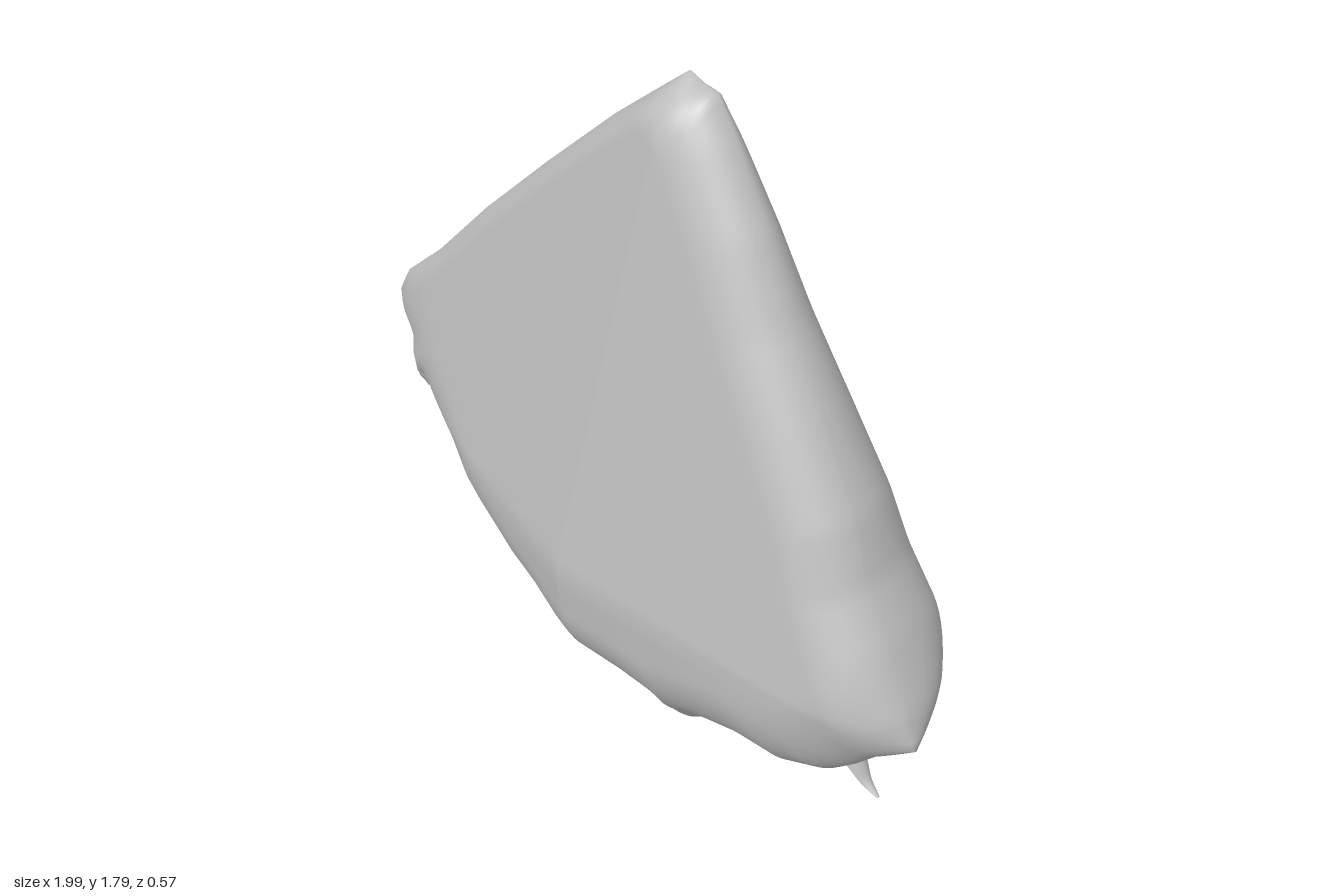
import * as THREE from 'three';

// Outline runs anticlockwise: left edge down, ragged crust, right edge up
const LEFT = [[0.13, 1.79], [-0.1, 1.59], [-0.35, 1.35], [-0.59, 1.11], [-0.8, 0.88], [-0.95, 0.74], [-1, 0.65]];
const CRUST = [[-1, 0.65], [-0.98, 0.6], [-0.93, 0.55], [-0.93, 0.5], [-0.88, 0.41], [-0.84, 0.44], [-0.77, 0.39],
  [-0.69, 0.33], [-0.62, 0.24], [-0.52, 0.19], [-0.41, 0.15], [-0.33, 0.12], [-0.21, 0.1], [-0.1, 0.06], [0, 0.045],
  [0.15, 0.05], [0.24, 0.045], [0.31, 0], [0.34, 0.05], [0.42, 0.08], [0.53, 0.11], [0.66, 0.12], [0.78, 0.18],
  [0.84, 0.24], [0.9, 0.31], [0.99, 0.38]];
const RIGHT = [[0.99, 0.38], [0.96, 0.47], [0.88, 0.63], [0.8, 0.76], [0.74, 0.91], [0.61, 1.13], [0.5, 1.31],
  [0.4, 1.5], [0.28, 1.69], [0.22, 1.77], [0.17, 1.775], [0.13, 1.79]];

const lerpAt = (y, y0, a, y1, b) => a + (b - a) * THREE.MathUtils.clamp((y - y0) / (y1 - y0), 0, 1);

// Shortest distance from a point to an open polyline
function distanceTo(line, x, y) {
  let best = Infinity;
  for (let i = 0; i < line.length - 1; i++) {
    const [ax, ay] = line[i], dx = line[i + 1][0] - ax, dy = line[i + 1][1] - ay;
    const t = THREE.MathUtils.clamp(((x - ax) * dx + (y - ay) * dy) / (dx * dx + dy * dy), 0, 1);
    best = Math.min(best, Math.hypot(x - ax - dx * t, y - ay - dy * t));
  }
  return best;
}

// Quarter-round from the rim (0) to full thickness (1)
const round = (d, w) => Math.sqrt(1 - (1 - Math.min(d / w, 1)) ** 2);
const rimZ = (y) => 0.03 - 0.035 * y;

// Front is a shallow ridge, back is a flat sloping plane; both round off at the rim
function surfaceZ(x, y, side) {
  const w = side > 0 ? [0.06, 0.13, 0.24] : [0.26, 0.16, 0.3];
  const dc = distanceTo(CRUST, x, y);
  const f = round(distanceTo(LEFT, x, y), w[0]) * round(distanceTo(RIGHT, x, y), w[1]) * round(dc, w[2]);
  let z;
  if (side > 0) {
    const dx = x - lerpAt(y, 0.45, 0, 1.75, 0.17);
    z = lerpAt(y, 0.45, 0.28, 1.75, 0.08) - (dx < 0 ? -0.2 : 0.13) * dx;
    z -= 0.1 * Math.max(0, 0.4 - y) * Math.max(0, 1 - Math.abs(x));
  } else {
    z = -lerpAt(y, 0.36, 0.285, 1.75, 0.09);
    // Soft creases in the crust
    z += 0.008 * Math.sin(x * 24 + 2 * Math.sin(x * 7)) * Math.max(0, 1 - dc / 0.3);
  }
  return rimZ(y) + (z - rimZ(y)) * f;
}

function wedgeGeometry() {
  const rim = [];
  for (const line of [LEFT, CRUST, RIGHT]) {
    for (let i = 0; i < line.length - 1; i++) {
      const [ax, ay] = line[i], [bx, by] = line[i + 1];
      const n = Math.max(1, Math.ceil(Math.hypot(bx - ax, by - ay) / 0.03));
      for (let k = 0; k < n; k++) rim.push([ax + (bx - ax) * k / n, ay + (by - ay) * k / n]);
    }
  }
  const cx = 0.033, cy = 0.7, rings = 36, n = rim.length;
  const pos = [], index = [];
  rim.forEach(([x, y]) => pos.push(x, y, rimZ(y)));
  for (const side of [1, -1]) {
    const tri = (a, b, c) => (side > 0 ? index.push(a, b, c) : index.push(a, c, b));
    let outer = 0;
    for (let j = 1; j < rings; j++) {
      const k = 1 - (j / rings) ** 2, start = pos.length / 3;
      for (const [rx, ry] of rim) {
        const x = cx + (rx - cx) * k, y = cy + (ry - cy) * k;
        pos.push(x, y, surfaceZ(x, y, side));
      }
      for (let i = 0; i < n; i++) {
        const m = (i + 1) % n;
        tri(outer + i, outer + m, start + i);
        tri(outer + m, start + m, start + i);
      }
      outer = start;
    }
    const centre = pos.length / 3;
    pos.push(cx, cy, surfaceZ(cx, cy, side));
    for (let i = 0; i < n; i++) tri(outer + i, outer + (i + 1) % n, centre);
  }
  const g = new THREE.BufferGeometry();
  g.setAttribute('position', new THREE.Float32BufferAttribute(pos, 3));
  g.setIndex(index);
  g.computeVertexNormals();
  return g;
}

// Curved drip that tapers to a point
function dripGeometry() {
  const curve = new THREE.CatmullRomCurve3([[0.79, 0.25, 0.02], [0.82, 0.21, 0.02], [0.85, 0.175, 0.02], [0.893, 0.15, 0.02]]
    .map((p) => new THREE.Vector3(...p)));
  const g = new THREE.TubeGeometry(curve, 12, 0.028, 8);
  const p = g.attributes.position, v = new THREE.Vector3();
  for (let i = 0; i < p.count; i++) {
    const t = Math.floor(i / 9) / 12, c = curve.getPointAt(t);
    v.fromBufferAttribute(p, i).sub(c).multiplyScalar(1 - 0.9 * t);
    v.z *= 1.5;
    v.add(c);
    p.setXYZ(i, v.x, v.y, v.z);
  }
  g.computeVertexNormals();
  return g;
}

export function createModel() {
  const grey = new THREE.MeshStandardMaterial({ color: 0xbfbfbf });
  grey.name = 'grey';
  const group = new THREE.Group();
  group.name = 'wedge';
  const body = new THREE.Mesh(wedgeGeometry(), grey);
  body.name = 'wedgeBody';
  const drip = new THREE.Mesh(dripGeometry(), grey);
  drip.name = 'crustDrip';
  group.add(body, drip);
  return group;
}
